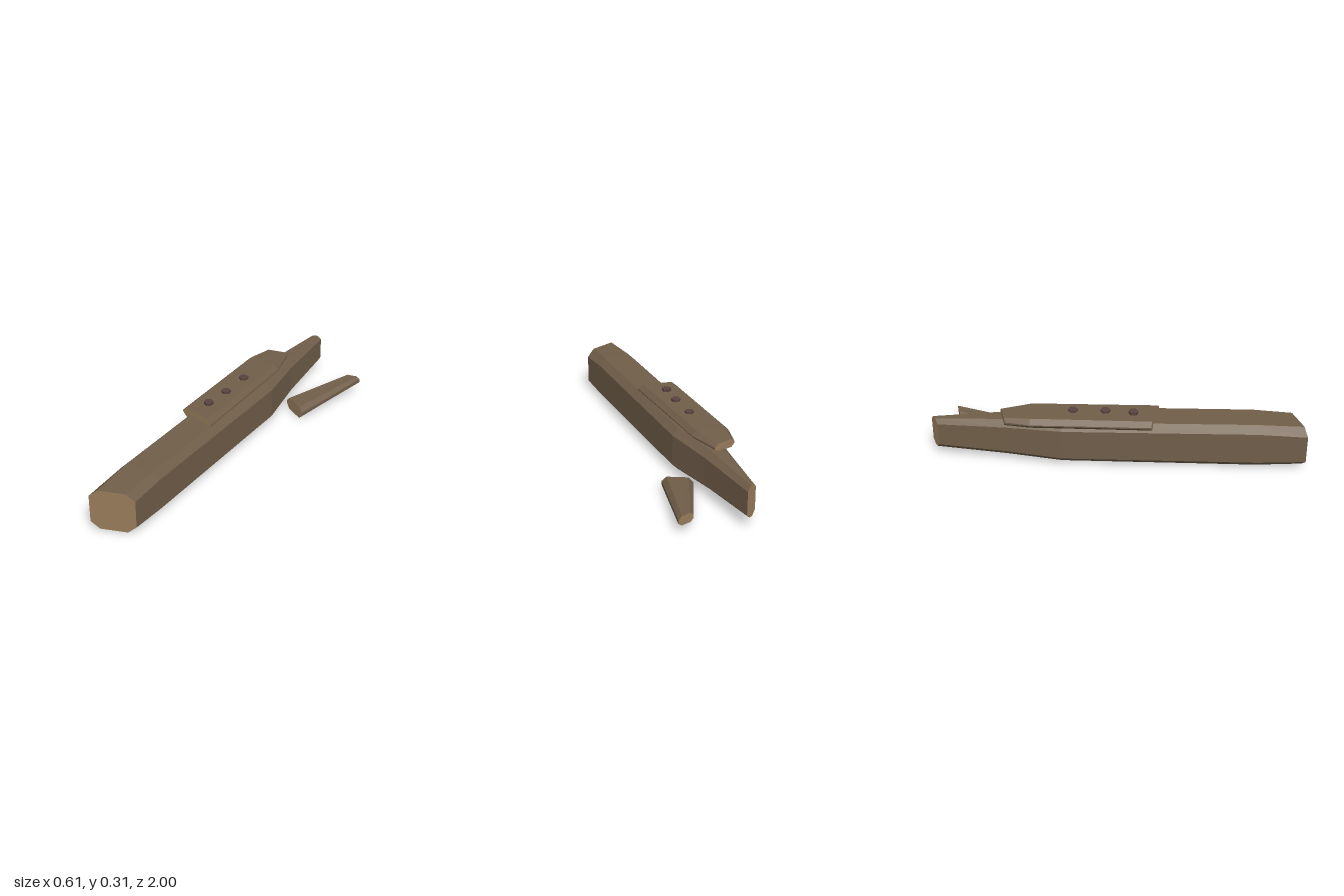
import * as THREE from 'three';

const bark = new THREE.MeshStandardMaterial({ color: 0x705e49 });
bark.name = 'brown wood';
const cut = new THREE.MeshStandardMaterial({ color: 0x997d5c });
cut.name = 'cut wood';
const peg = new THREE.MeshStandardMaterial({ color: 0x59433f });
peg.name = 'dark peg';

// Chamfered cross-section, counter-clockwise seen from the front.
// xl, zl and xr, zr are its right-hand and left-hand ends; slanted when zl and zr differ.
function ring([xl, zl, xr, zr, y0, y1, cx, cy]) {
  const outline = [
    [xl + cx, y0], [xr - cx, y0], [xr, y0 + cy], [xr, y1 - cy],
    [xr - cx, y1], [xl + cx, y1], [xl, y1 - cy], [xl, y0 + cy],
  ];
  return outline.map(([x, y]) => [x, y, zl + (zr - zl) * (x - xl) / (xr - xl)]);
}

// Faceted timber through the sections from front to back, with cut ends.
function timber(name, sections) {
  const rings = sections.map(ring);
  const pos = [];
  const n = 8;
  for (let s = 0; s < rings.length - 1; s++) {
    const a = rings[s], b = rings[s + 1];
    for (let i = 0; i < n; i++) {
      const j = (i + 1) % n;
      pos.push(...a[i], ...b[i], ...a[j], ...a[j], ...b[i], ...b[j]);
    }
  }
  const sideCount = pos.length / 3;
  const f = rings[0], e = rings[rings.length - 1];
  for (let i = 1; i < n - 1; i++) {
    pos.push(...f[0], ...f[i], ...f[i + 1]);
    pos.push(...e[0], ...e[i + 1], ...e[i]);
  }
  const geo = new THREE.BufferGeometry();
  geo.setAttribute('position', new THREE.Float32BufferAttribute(pos, 3));
  geo.computeVertexNormals();
  geo.addGroup(0, sideCount, 0);
  geo.addGroup(sideCount, pos.length / 3 - sideCount, 1);
  const mesh = new THREE.Mesh(geo, [bark, cut]);
  mesh.name = name;
  return mesh;
}

export function createModel() {
  const group = new THREE.Group();
  group.name = 'brokenBeam';

  // Long beam, tapering to a narrow tail
  group.add(timber('mainBeam', [
    [-0.307, 1.0, -0.075, 0.93, 0.012, 0.248, 0.045, 0.04],
    [-0.29, 0.74, -0.06, 0.73, 0.007, 0.262, 0.038, 0.038],
    [-0.212, -0.3, 0.022, -0.31, 0.022, 0.265, 0.038, 0.036],
    [-0.145, -0.6, -0.004, -0.6, 0.037, 0.257, 0.033, 0.034],
    [-0.08, -0.965, -0.013, -1.0, 0.062, 0.24, 0.022, 0.025],
  ]));

  // Patch plank on top
  group.add(timber('topPlank', [
    [-0.268, 0.17, -0.056, 0.23, 0.24, 0.296, 0.026, 0.024],
    [-0.22, -0.47, -0.015, -0.45, 0.25, 0.306, 0.026, 0.025],
    [-0.18, -0.6, -0.05, -0.625, 0.25, 0.296, 0.02, 0.018],
  ]));

  // Loose splinter beside the tail
  group.add(timber('splinter', [
    [0.012, -0.52, 0.152, -0.432, 0.002, 0.076, 0.022, 0.026],
    [0.21, -0.868, 0.305, -0.885, 0.05, 0.102, 0.02, 0.016],
  ]));

  // Hexagonal pegs along the plank
  [[-0.157, 0.083], [-0.134, -0.064], [-0.12, -0.237]].forEach(([x, z], i) => {
    const geo = new THREE.CylinderGeometry(0.026, 0.026, 0.03, 6).toNonIndexed();
    geo.computeVertexNormals();
    const mesh = new THREE.Mesh(geo, peg);
    mesh.position.set(x, 0.298, z);
    mesh.name = 'peg' + (i + 1);
    group.add(mesh);
  });

  return group;
}
